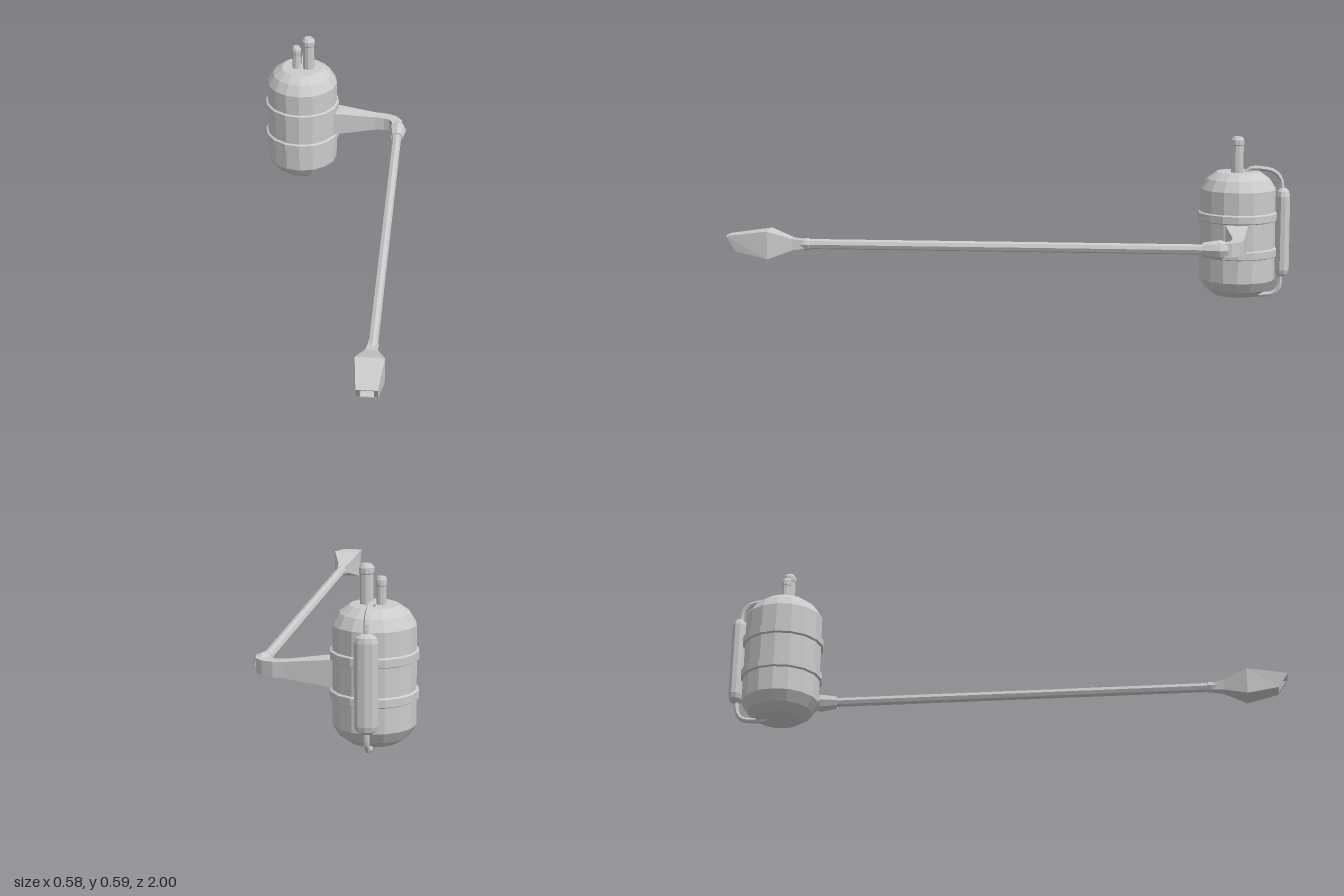
import * as THREE from 'three';

const mat = new THREE.MeshStandardMaterial({ color: 0xcccccc, flatShading: true });
const TX = -0.146, TZ = -0.81;   // tank axis
const RX = 0.238, RY = 0.237;    // wand axis

function add(group, name, geometry, x = 0, y = 0, z = 0) {
  const mesh = new THREE.Mesh(geometry, mat);
  mesh.name = name;
  mesh.position.set(x, y, z);
  group.add(mesh);
  return mesh;
}

// Profile of [radius, y] pairs, bottom to top
const lathe = (profile, sides) =>
  new THREE.LatheGeometry(profile.map(([r, y]) => new THREE.Vector2(r, y)), sides);

// Skin between rings of equal point count, closed at both ends
function loft(rings) {
  const pos = [];
  const tri = (a, b, c) => [a, b, c].forEach(p => pos.push(p.x, p.y, p.z));
  const n = rings[0].length;
  for (let i = 0; i < rings.length - 1; i++) {
    for (let k = 0; k < n; k++) {
      const j = (k + 1) % n, p = rings[i], q = rings[i + 1];
      tri(p[k], p[j], q[j]);
      tri(p[k], q[j], q[k]);
    }
  }
  const last = rings[rings.length - 1];
  for (let k = 1; k < n - 1; k++) {
    tri(rings[0][0], rings[0][k + 1], rings[0][k]);
    tri(last[0], last[k], last[k + 1]);
  }
  const g = new THREE.BufferGeometry();
  g.setAttribute('position', new THREE.Float32BufferAttribute(pos, 3));
  g.computeVertexNormals();
  return g;
}

const corners = [[1, -1], [1, 1], [-1, 1], [-1, -1]];

// Rectangular ring at (x, z) facing along the heading, turned from +x towards +z
function armRing([x, z, degrees, halfWidth, halfHeight]) {
  const a = THREE.MathUtils.degToRad(degrees);
  return corners.map(([u, v]) => new THREE.Vector3(
    x + Math.sin(a) * u * halfWidth, RY + v * halfHeight, z - Math.cos(a) * u * halfWidth));
}

// Rectangular ring across z, with its lower edge set back by slant
function nozzleRing([z, halfWidth, bottom, top, slant = 0]) {
  return corners.map(([u, v]) => new THREE.Vector3(
    RX + u * halfWidth, v > 0 ? top : bottom, v > 0 ? z : z - slant));
}

export function createModel() {
  const model = new THREE.Group();
  model.name = 'sprayer';

  // Tank with chamfered shoulders
  add(model, 'tank', lathe([[0, 0.01], [0.08, 0.01], [0.115, 0.034], [0.138, 0.07],
    [0.138, 0.402], [0.115, 0.44], [0.08, 0.465], [0, 0.465]], 16), TX, 0, TZ);

  // Two raised bands
  for (const y of [0.172, 0.303]) {
    add(model, 'band', lathe([[0.134, -0.019], [0.146, -0.013], [0.146, 0.013], [0.134, 0.019]], 16), TX, y, TZ);
  }

  // Two capped pipes on top
  for (const [x, r, top] of [[-0.12, 0.0225, 0.595], [-0.168, 0.0165, 0.556]]) {
    add(model, 'topPipe', lathe([[r, 0.45], [r, top - 0.032], [r * 1.1, top - 0.028],
      [r * 1.1, top - 0.011], [r * 0.75, top], [0, top]], 10), x, 0, -0.805);
  }

  // Slim cylinder behind the tank, wider than it is deep
  const bottle = add(model, 'rearCylinder', lathe([[0, 0.078], [0.018, 0.08], [0.034, 0.09],
    [0.04, 0.107], [0.04, 0.378], [0.034, 0.395], [0.018, 0.405], [0, 0.407]], 10), TX, 0, -0.973);
  bottle.scale.z = 0.67;

  // Bent tubes joining the cylinder to the tank, listed as [y, z]
  const bends = {
    upperTube: [[0.455, -0.838], [0.474, -0.85], [0.476, -0.9], [0.465, -0.942], [0.438, -0.965], [0.39, -0.97]],
    lowerTube: [[0.018, -0.855], [0.01, -0.87], [0.01, -0.91], [0.017, -0.945], [0.04, -0.964], [0.09, -0.97]],
  };
  for (const [name, points] of Object.entries(bends)) {
    const curve = new THREE.CatmullRomCurve3(points.map(([y, z]) => new THREE.Vector3(TX, y, z)));
    add(model, name, new THREE.TubeGeometry(curve, 14, 0.0095, 6));
  }

  // Tapered arm and elbow: [x, z, heading, half width, half height]
  add(model, 'arm', loft([
    [-0.04, -0.805, 0, 0.043, 0.049],
    [-0.01, -0.805, 0, 0.04, 0.046],
    [0.145, -0.806, 0, 0.021, 0.028],
    [0.185, -0.804, 8, 0.021, 0.026],
    [0.215, -0.793, 35, 0.021, 0.025],
    [0.233, -0.772, 65, 0.021, 0.024],
    [0.238, -0.74, 90, 0.021, 0.023],
  ].map(armRing)));

  // Faceted collar at the elbow
  const collar = add(model, 'collar', lathe([[0, -0.77], [0.023, -0.77], [0.034, -0.742],
    [0.032, -0.725], [0.024, -0.68], [0, -0.68]], 8), RX, RY, 0);
  collar.rotation.x = Math.PI / 2;

  // Long wand with a stepped neck
  const wand = add(model, 'wand', lathe([[0, -0.72], [0.018, -0.72], [0.018, 0.705],
    [0.021, 0.708], [0.021, 0.72], [0.016, 0.745], [0.016, 0.77], [0, 0.77]], 8), RX, RY, 0);
  wand.rotation.x = Math.PI / 2;

  // Flared nozzle with a slanted, hollow mouth: [z, half width, bottom, top, slant]
  add(model, 'nozzle', loft([
    [0.725, 0.015, 0.222, 0.252],
    [0.765, 0.021, 0.217, 0.257],
    [0.85, 0.05, 0.188, 0.287],
    [1.0, 0.036, 0.212, 0.267, 0.035],
    [0.995, 0.023, 0.215, 0.261, 0.03],
    [0.9, 0.021, 0.217, 0.257],
  ].map(nozzleRing)));

  return model;
}
